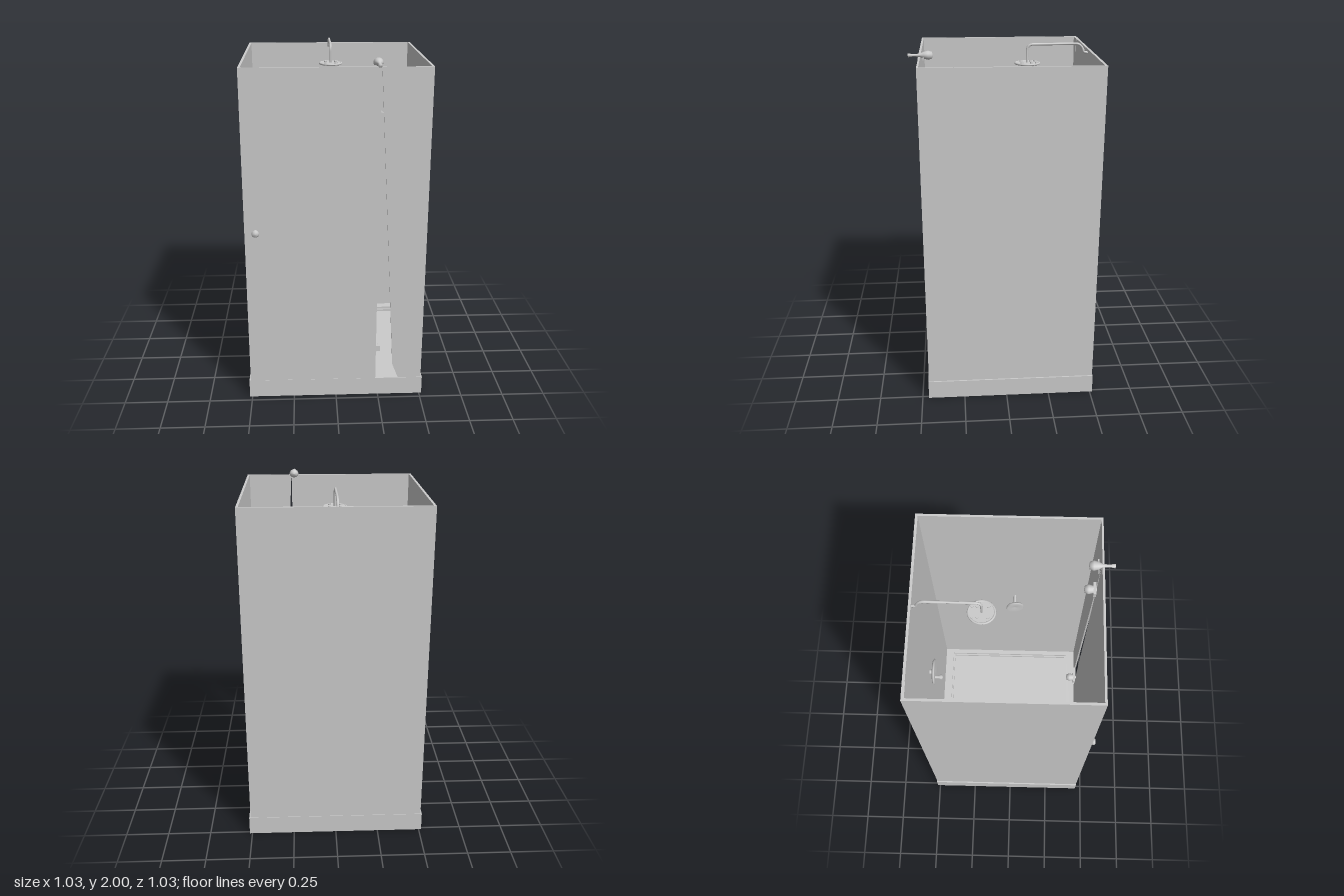
import * as THREE from 'three';

const grey = new THREE.MeshStandardMaterial({ color: 0xcccccc, side: THREE.DoubleSide });

export function createModel() {
  const root = new THREE.Group();

  const add = (name, geometry, x = 0, y = 0, z = 0, parent = root) => {
    const mesh = new THREE.Mesh(geometry, grey);
    mesh.name = name;
    mesh.position.set(x, y, z);
    parent.add(mesh);
    return mesh;
  };
  // box given by its minimum and maximum corners
  const slab = (name, [x0, y0, z0], [x1, y1, z1]) =>
    add(name, new THREE.BoxGeometry(x1 - x0, y1 - y0, z1 - z0), (x0 + x1) / 2, (y0 + y1) / 2, (z0 + z1) / 2);
  const group = (name, x, y, z) => {
    const g = new THREE.Group();
    g.name = name;
    g.position.set(x, y, z);
    root.add(g);
    return g;
  };
  // lathe whose axis points along +z; points are [radius, z]
  const turned = (points, sides = 20) =>
    new THREE.LatheGeometry(points.map(([r, d]) => new THREE.Vector2(r, d)), sides).rotateX(Math.PI / 2);
  const rect = (C, x0, z0, x1, z1) => {
    const s = new C();
    s.moveTo(x0, -z0).lineTo(x1, -z0).lineTo(x1, -z1).lineTo(x0, -z1).closePath();
    return s;
  };
  // horizontal frame: outer rectangle minus inner rectangle
  const frame = (name, outer, inner, y, height) => {
    const s = rect(THREE.Shape, ...outer);
    s.holes.push(rect(THREE.Path, ...inner));
    add(name, new THREE.ExtrudeGeometry(s, { depth: height, bevelEnabled: false }).rotateX(-Math.PI / 2), 0, y, 0);
  };

  // Tray with a stepped, sunken floor
  const basin = [-0.47, -0.445, 0.465, 0.395];
  slab('trayFloor', [-0.515, 0, -0.515], [0.515, 0.08, 0.463]);
  frame('trayRim', [-0.515, -0.515, 0.515, 0.463], basin, 0.08, 0.03);
  frame('trayStep', basin, [-0.46, -0.435, 0.455, 0.38], 0.08, 0.015);

  // Walls
  const top = 1.96;
  slab('backWall', [-0.507, 0.11, -0.512], [0.507, top, -0.498]);
  for (const s of [-1, 1]) {
    const x = [s * 0.507, s * 0.494].sort((a, b) => a - b);
    slab(s > 0 ? 'leftWall' : 'rightWall', [x[0], 0.11, -0.5], [x[1], top, 0.46]);
  }
  slab('rightWallPanel', [-0.495, 0.3, -0.42], [-0.491, 1.66, 0.34]);
  slab('backWallPatch', [-0.494, 1.88, -0.499], [-0.41, top, -0.496]);

  // Front: door and fixed panel with a tapering gap beside the door
  slab('door', [-0.507, 0.11, 0.45], [0.235, top, 0.462]);
  const panel = new THREE.Shape([
    [0.236, top], [0.238, 1.93], [0.335, 0.2], [0.37, 0.11], [0.507, 0.11], [0.507, top],
  ].map(([x, y]) => new THREE.Vector2(x, y)));
  add('frontPanel', new THREE.ExtrudeGeometry(panel, { depth: 0.01, bevelEnabled: false }), 0, 0, 0.45);

  // Door knob
  add('doorKnob', turned([
    [0.012, 0], [0.009, 0.012], [0.019, 0.02], [0.021, 0.03], [0.014, 0.038], [0, 0.04],
  ]), -0.445, 1.06, 0.462);

  // Pin on top of the door and the two inner hinges
  const bulb = [[0, -0.065], [0.02, -0.06], [0.027, -0.04], [0.02, -0.015], [0.01, 0.005]];
  const pin = add('topPin', turned([...bulb, [0.007, 0.04], [0.012, 0.068], [0, 0.069]]), 0.22, 1.975, 0.445);
  pin.scale.y = 0.9;
  slab('topPinPlate', [0.185, 1.955, 0.428], [0.262, 1.965, 0.434]);
  for (const y of [0.3, 1.7]) {
    add('hingeBulb', turned(bulb), 0.225, y, 0.445);
    slab('hingePlate', [0.19, y - 0.018, 0.43], [0.26, y + 0.018, 0.445]);
  }

  // Shower pipe arching from the back wall to the head
  const path = new THREE.CurvePath();
  const v = (y, z) => new THREE.Vector3(-0.008, y, z);
  path.add(new THREE.LineCurve3(v(1.94, -0.5), v(1.945, -0.475)));
  path.add(new THREE.QuadraticBezierCurve3(v(1.945, -0.475), v(1.99, -0.465), v(1.992, -0.43)));
  path.add(new THREE.LineCurve3(v(1.992, -0.43), v(1.99, -0.18)));
  path.add(new THREE.QuadraticBezierCurve3(v(1.99, -0.18), v(1.988, -0.15), v(1.955, -0.15)));
  path.add(new THREE.LineCurve3(v(1.955, -0.15), v(1.89, -0.15)));
  add('showerPipe', new THREE.TubeGeometry(path, 60, 0.007, 10));

  // Shower head: rimmed disc with studs
  const head = group('showerHead', -0.008, 1.885, -0.152);
  add('headDisc', new THREE.CylinderGeometry(0.06, 0.06, 0.008, 28), 0, 0, 0, head);
  add('headRim', new THREE.TorusGeometry(0.063, 0.006, 8, 28).rotateX(Math.PI / 2), 0, 0, 0, head);
  for (const x of [-0.03, 0.03])
    for (const z of [-0.045, -0.02, 0.032])
      add('headStud', new THREE.CylinderGeometry(0.008, 0.008, 0.02, 12), x, 0, z, head);
  head.scale.z = 1.08;

  // Round dished fittings: a water control on the back wall, a jet on each side wall
  const dish = (r) => turned([[0, 0], [r * 0.9, 0.004], [r, 0.014], [r * 0.9, 0.022], [0, 0.015]], 28);
  const control = group('waterControl', -0.03, 1.05, -0.498);
  add('controlPlate', dish(0.08), 0, 0, 0.016, control);
  add('controlStem', turned([[0.014, 0], [0.014, 0.02]]), 0, 0, 0, control);
  add('controlLever', turned([[0.009, 0], [0.009, 0.03], [0.015, 0.038], [0.013, 0.05], [0, 0.052]]),
    -0.033, 0, 0.03, control);
  for (const s of [-1, 1]) {
    const jet = group('bodyJet', s * 0.494, 1.05, s < 0 ? -0.01 : 0.008);
    jet.rotation.y = -s * Math.PI / 2;
    add('jetStem', turned([[0.008, 0], [0.008, 0.07]]), 0, 0, 0, jet);
    add('jetDish', dish(0.055), 0, 0, 0.066, jet).rotation.y = 0.12;
  }

  return root;
}
